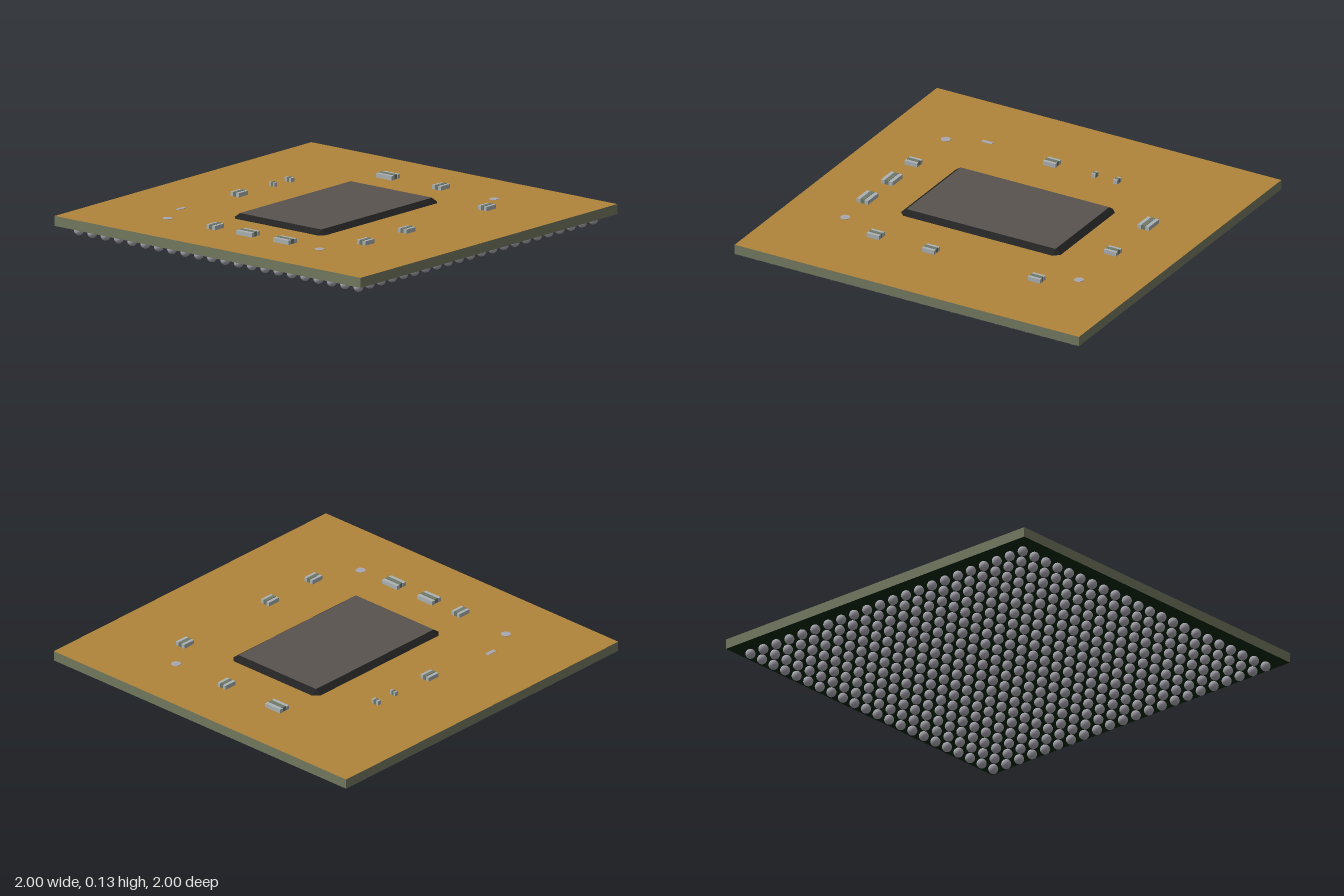
import * as THREE from 'three';
import { mergeGeometries } from 'three/addons/utils/BufferGeometryUtils.js';

const mat = (name, color, extra = {}) => {
  const m = new THREE.MeshStandardMaterial({ color, ...extra });
  m.name = name;
  return m;
};

const BOTTOM = 0.05, TOP = 0.102, DIE_TOP = 0.126;

export function createModel() {
  const gold = mat('gold board face', 0xb0853a);
  const olive = mat('olive laminate', 0x737a60);
  const green = mat('dark green underside', 0x06260c);
  const solder = mat('solder', 0xa9a7b0);
  const black = mat('black underfill', 0x222222);
  const grey = mat('grey die', 0x58534e);
  const silver = mat('silver terminal', 0xacb2b4);
  const ceramic = mat('ceramic body', 0x70796a);

  const model = new THREE.Group();
  model.name = 'chipPackage';
  const add = (name, geometry, material, x = 0, y = 0, z = 0, parent = model) => {
    const mesh = new THREE.Mesh(geometry, material);
    mesh.name = name;
    mesh.position.set(x, y, z);
    parent.add(mesh);
    return mesh;
  };

  // Board: gold on top, green below, laminate around the edge
  add('board', new THREE.BoxGeometry(2, TOP - BOTTOM, 2),
    [olive, olive, gold, green, olive, olive], 0, (TOP + BOTTOM) / 2, 0);

  // Grid of solder balls under the board
  const count = 22, pitch = 0.087, r = 0.0255;
  const ball = new THREE.SphereGeometry(r, 14, 10);
  const balls = [];
  for (let i = 0; i < count; i++) {
    for (let j = 0; j < count; j++) {
      balls.push(ball.clone().translate((i - (count - 1) / 2) * pitch, r, (j - (count - 1) / 2) * pitch));
    }
  }
  add('solderBalls', mergeGeometries(balls), solder);

  // Sloping underfill: clipped rectangle rising to a smaller rectangle
  const ring = (hx, hz, cut, y) => [
    [hx, hz - cut], [hx - cut, hz], [-hx + cut, hz], [-hx, hz - cut],
    [-hx, -hz + cut], [-hx + cut, -hz], [hx - cut, -hz], [hx, -hz + cut],
  ].map(([x, z]) => [x, y, z]);
  const low = ring(0.298, 0.464, 0.03, TOP), high = ring(0.266, 0.432, 0.002, DIE_TOP);
  const pos = [];
  for (let i = 0; i < 8; i++) {
    const j = (i + 1) % 8;
    pos.push(...low[i], ...high[i], ...high[j], ...low[i], ...high[j], ...low[j]);
  }
  const slope = new THREE.BufferGeometry();
  slope.setAttribute('position', new THREE.Float32BufferAttribute(pos, 3));
  slope.computeVertexNormals();
  black.side = THREE.DoubleSide;
  add('underfill', slope, black);
  add('die', new THREE.BoxGeometry(0.532, DIE_TOP - TOP, 0.864), grey, 0, (DIE_TOP + TOP) / 2, 0);

  // Capacitor: ceramic core between two silver rails
  const capacitor = ([x, z, w, d, alongX]) => {
    const g = new THREE.Group();
    g.name = 'capacitor';
    g.position.set(x, TOP, z);
    const long = alongX ? w : d, short = alongX ? d : w;
    if (!alongX) g.rotation.y = Math.PI / 2;
    add('core', new THREE.BoxGeometry(long * 0.96, 0.024, short * 0.36), ceramic, 0, 0.012, 0, g);
    for (const s of [-1, 1]) {
      add('terminal', new THREE.BoxGeometry(long, 0.022, short * 0.32), silver, 0, 0.011, s * short * 0.34, g);
    }
    model.add(g);
  };
  [
    [-0.23, -0.68, 0.102, 0.066, true], [-0.005, 0.678, 0.102, 0.066, true], [0.235, 0.678, 0.102, 0.066, true],
    [0.118, -0.678, 0.056, 0.072], [0.567, -0.5, 0.056, 0.072], [0.562, 0.118, 0.056, 0.072],
    [0.562, 0.438, 0.056, 0.072], [-0.567, 0.078, 0.056, 0.072], [-0.22, 0.678, 0.056, 0.072],
    [-0.56, -0.305, 0.042, 0.024], [-0.56, -0.177, 0.036, 0.02],
  ].forEach(capacitor);

  // Flat alignment marks
  const dot = new THREE.CylinderGeometry(0.025, 0.025, 0.002, 24);
  for (const [x, z] of [[0.46, -0.682], [-0.534, 0.675], [0.46, 0.675]]) {
    add('alignmentDot', dot, solder, x, TOP + 0.001, z);
  }
  add('alignmentBar', new THREE.BoxGeometry(0.023, 0.002, 0.06), solder, -0.612, TOP + 0.001, 0.48);

  return model;
}
